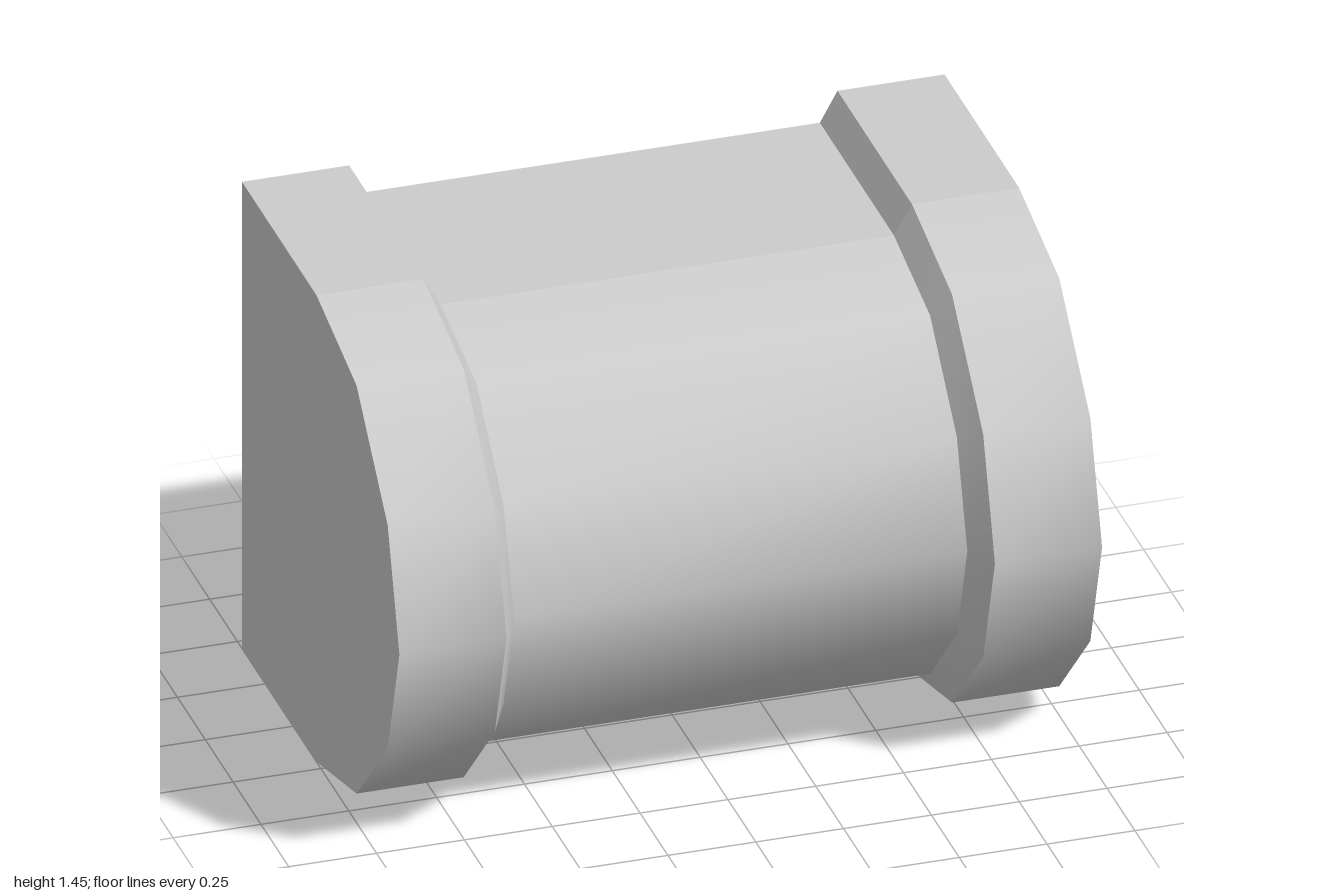
import * as THREE from 'three';

const MID = 0.7225;

// Upper half of a cross-section as [z, height above the middle], back to front
const RIM = [[-0.71, 0.7225], [-0.04, 0.7225], [0.32, 0.632], [0.60, 0.345], [0.705, 0]];
const BARREL = [[-0.71, 0.632], [-0.045, 0.632], [0.28, 0.555], [0.52, 0.305], [0.615, 0]];

// Full section, from the top back edge round the front to the bottom back edge
function section(half) {
  const lower = half.slice(0, -1).reverse().map(([z, h]) => [z, -h]);
  return [...half, ...lower].map(([z, h]) => [z, MID + h]);
}

// Smooth strip between two matching sections at xa < xb
function strip(a, xa, b, xb, material) {
  const positions = [], index = [];
  a.forEach(([z, y], i) => {
    positions.push(xa, y, z, xb, b[i][1], b[i][0]);
    if (i > 0) {
      const p = 2 * (i - 1);
      index.push(p, p + 2, p + 1, p + 1, p + 2, p + 3);
    }
  });
  const g = new THREE.BufferGeometry();
  g.setAttribute('position', new THREE.Float32BufferAttribute(positions, 3));
  g.setIndex(index);
  g.computeVertexNormals();
  return new THREE.Mesh(g, material);
}

// Band of shell: flat top, rounded front and flat bottom, with edges between them
function band(name, a, xa, b, xb, material) {
  const group = new THREE.Group();
  group.name = name;
  const n = a.length;
  const parts = { Top: [0, 2], Front: [1, n - 1], Bottom: [n - 2, n] };
  for (const [part, [from, to]] of Object.entries(parts)) {
    const mesh = strip(a.slice(from, to), xa, b.slice(from, to), xb, material);
    mesh.name = name + part;
    group.add(mesh);
  }
  return group;
}

export function createModel() {
  const model = new THREE.Group();
  model.name = 'barrelHousing';
  const shell = new THREE.MeshStandardMaterial({ color: 0xcccccc, side: THREE.DoubleSide });
  const solid = new THREE.MeshStandardMaterial({ color: 0xcccccc });

  const rim = section(RIM);
  const barrel = section(BARREL);
  const rimX = 0.695, barrelX = 0.645;

  // Open-backed shell: narrow barrel between two raised rims
  model.add(
    band('rightRim', rim, -1, rim, -rimX, shell),
    band('rightStep', rim, -rimX, barrel, -barrelX, shell),
    band('barrel', barrel, -barrelX, barrel, barrelX, shell),
    band('leftStep', barrel, barrelX, rim, rimX, shell),
    band('leftRim', rim, rimX, rim, 1, shell)
  );

  // Thin end plates
  const outline = new THREE.Shape(rim.map(([z, y]) => new THREE.Vector2(z, y)));
  for (const side of [-1, 1]) {
    const plate = new THREE.Mesh(new THREE.ShapeGeometry(outline).rotateY(-Math.PI / 2), shell);
    plate.name = side > 0 ? 'leftEndPlate' : 'rightEndPlate';
    plate.position.x = side;
    model.add(plate);
  }

  // Block set inside the open back
  const back = -0.47, front = 0.25;
  const core = new THREE.Mesh(new THREE.BoxGeometry(1.7, 0.96, front - back), solid);
  core.name = 'innerBlock';
  core.position.set(0, MID, (front + back) / 2);
  model.add(core);

  return model;
}
